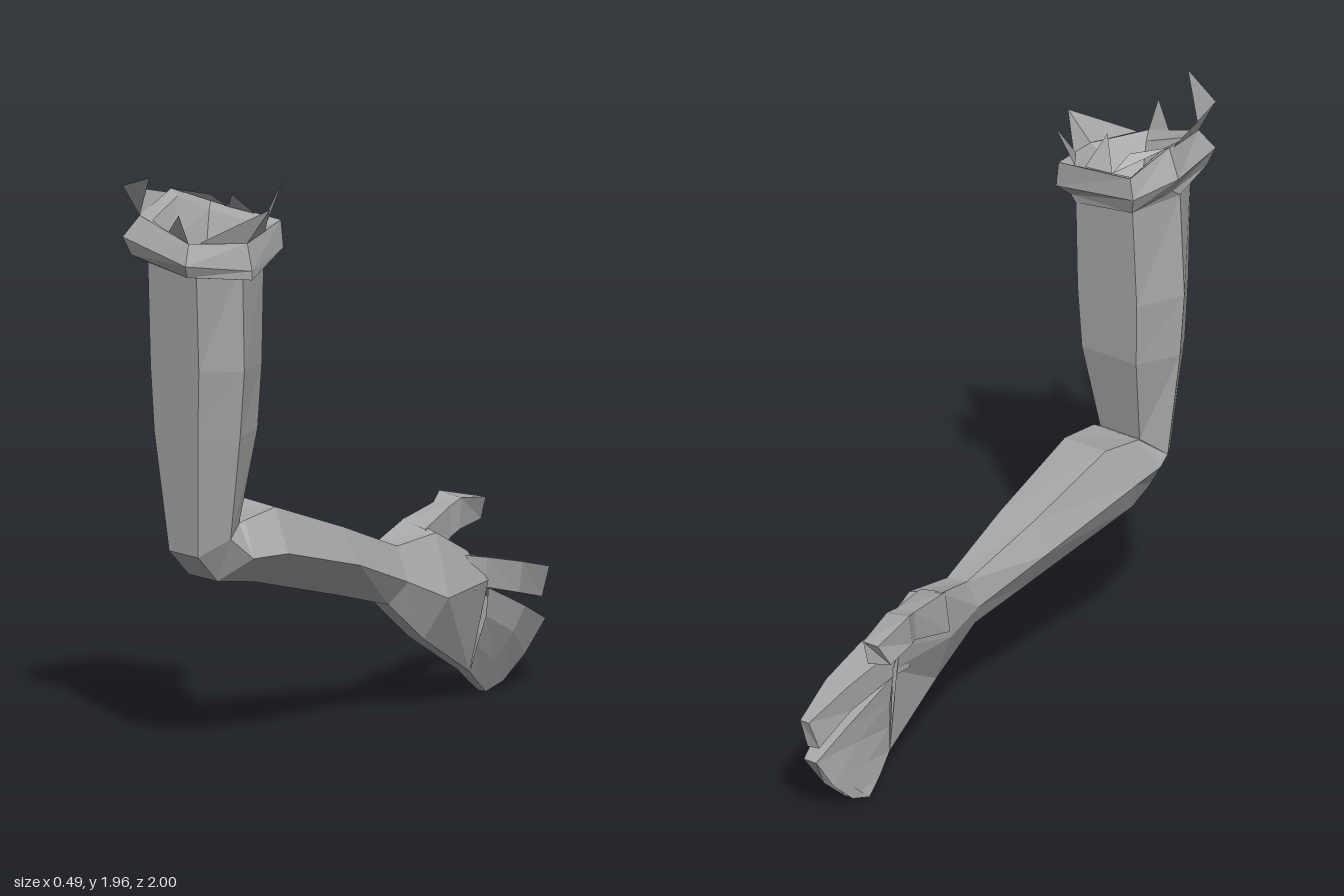
import * as THREE from 'three';

const grey = new THREE.MeshStandardMaterial({ color: 0xa6a6a6, side: THREE.DoubleSide });
grey.name = 'grey';

// Faceted mesh from a list of corner triples
function facets(name, corners) {
  const g = new THREE.BufferGeometry();
  g.setAttribute('position', new THREE.Float32BufferAttribute(corners.flat(), 3));
  g.computeVertexNormals();
  const mesh = new THREE.Mesh(g, grey);
  mesh.name = name;
  return mesh;
}

// Skin through closed rings of equal point count, optionally capped
function loft(name, rings, { start = false, end = false } = {}) {
  const t = [], n = rings[0].length;
  for (let i = 0; i < rings.length - 1; i++) {
    for (let j = 0; j < n; j++) {
      const k = (j + 1) % n;
      const a = rings[i][j], b = rings[i][k], c = rings[i + 1][j], d = rings[i + 1][k];
      t.push(a, c, b, b, c, d);
    }
  }
  const first = rings[0], last = rings[rings.length - 1];
  for (let j = 1; j < n - 1; j++) {
    if (start) t.push(first[0], first[j], first[j + 1]);
    if (end) t.push(last[0], last[j + 1], last[j]);
  }
  return facets(name, t);
}

// Horizontal ring at height y from x, z pairs
const level = (y, pts) => pts.map(([x, z]) => [x, y, z]);

// Ring shrunk towards the arm's axis and moved down
const shrink = (ring, s, drop) =>
  ring.map(([x, y, z]) => [-0.03 + (x + 0.03) * s, y - drop, 0.73 + (z - 0.73) * s]);

export function createModel() {
  const model = new THREE.Group();
  model.name = 'arm';

  // Ring order: front left, front right, right, back right, back left, left
  const shoulder = level(1.66, [[-.14, .88], [.06, .88], [.15, .75], [.09, .56], [-.14, .56], [-.2, .74]]);
  const elbow = [[-.13, .68, .78], [-.01, .67, .78], [.07, .73, .71], [.05, .77, .64], [-.11, .77, .64], [-.18, .71, .7]];
  model.add(loft('upperArm', [
    shoulder,
    level(1.3, [[-.16, .84], [.04, .84], [.15, .74], [.09, .57], [-.15, .57], [-.225, .73]]),
    level(1.08, [[-.16, .82], [.02, .82], [.125, .73], [.08, .58], [-.14, .58], [-.215, .72]]),
    elbow,
  ]));

  // Forearm swings back from the elbow and tapers to the wrist
  const wrist = [[-.02, .4, -.14], [.06, .385, -.14], [.11, .46, -.18], [.05, .57, -.2], [-.03, .58, -.2], [-.055, .48, -.17]];
  model.add(loft('forearm', [
    elbow,
    [[-.12, .59, .69], [0, .58, .69], [.11, .66, .64], [.06, .78, .62], [-.12, .78, .62], [-.18, .68, .66]],
    [[-.14, .565, .56], [.05, .565, .56], [.16, .665, .52], [.06, .8, .46], [-.12, .815, .44], [-.19, .68, .52]],
    [[-.06, .455, .1], [.04, .45, .1], [.13, .56, .1], [.06, .68, .1], [-.08, .69, .1], [-.13, .58, .1]],
    wrist,
  ]));

  model.add(loft('palm', [
    wrist,
    [[.02, .25, -.3], [.08, .25, -.3], [.16, .39, -.33], [.07, .59, -.38], [-.06, .625, -.38], [-.06, .44, -.33]],
    [[.01, .1, -.57], [.06, .1, -.57], [.13, .41, -.58], [.05, .5, -.57], [-.03, .5, -.57], [-.01, .41, -.58]],
  ], { end: true }));

  // Digits, ring order: right top, left top, left bottom, right bottom
  model.add(loft('thumb', [
    [[.04, .6, -.36], [-.06, .62, -.36], [-.08, .48, -.36], [.06, .46, -.36]],
    [[-.02, .64, -.57], [-.09, .645, -.57], [-.09, .54, -.56], [-.01, .54, -.56]],
    [[-.03, .655, -.64], [-.12, .67, -.64], [-.12, .56, -.62], [-.02, .555, -.62]],
    [[-.06, .63, -.81], [-.12, .63, -.81], [-.15, .56, -.78], [-.08, .555, -.81]],
  ], { end: true }));

  model.add(loft('middleFinger', [
    [[.1, .5, -.5], [-.01, .5, -.5], [-.02, .39, -.5], [.14, .39, -.5]],
    [[.11, .48, -.6], [-.01, .48, -.6], [-.01, .385, -.58], [.12, .385, -.58]],
    [[.1, .435, -.8], [.01, .435, -.8], [.01, .34, -.78], [.1, .335, -.78]],
    [[.055, .385, -1], [.02, .385, -1], [0, .285, -.97], [.04, .285, -.98]],
  ], { end: true }));

  // Joined lower fingers, fanning to a rounded tip
  const root = [[.385, -.58], [.29, -.58], [.19, -.57], [.1, -.57]];
  const mid = [[.29, -.8], [.21, -.75], [.12, -.7], [.05, -.65]];
  const tip = [[.22, -.96], [.11, -.89], [.03, -.8], [.005, -.72]];
  const fan = (edge, inner, outer) => [
    ...edge.map(([y, z], i) => [inner[i], y, z]),
    ...edge.map(([y, z], i) => [outer[i], y, z]).reverse(),
  ];
  model.add(loft('lowerFingers', [
    fan(root, [-.01, 0, .01, .01], [.13, .12, .09, .06]),
    fan(mid, [.01, .01, 0, -.01], [.11, .1, .06, .03]),
    fan(tip, [.02, 0, -.01, -.02], [.07, .04, .02, .01]),
  ], { end: true }));

  // Slanted cuff with a hollow inside
  const rim = [[-.15, 1.81, .91], [.06, 1.74, .92], [.17, 1.73, .75], [.13, 1.77, .52], [-.16, 1.8, .52], [-.2, 1.86, .68]];
  model.add(loft('cuff', [
    shrink(rim, 0.5, 0.12),
    shrink(rim, 0.8, 0.02),
    rim,
    [[-.19, 1.74, .95], [.07, 1.67, .95], [.19, 1.64, .75], [.14, 1.68, .52], [-.18, 1.73, .51], [-.245, 1.76, .67]],
    [[-.17, 1.68, .93], [.06, 1.63, .93], [.19, 1.61, .75], [.11, 1.64, .56], [-.16, 1.67, .53], [-.2, 1.69, .7]],
    shoulder.map(([x, y, z]) => [x, y - .03 - x * .15, z]),
  ], { start: true }));

  // Torn, pointed flaps around the rim
  const flaps = [
    [[-.2, 1.85, .7], [-.15, 1.81, .91], [-.19, 1.91, .95]],
    [[-.15, 1.81, .91], [-.04, 1.96, 1], [-.19, 1.91, .95]],
    [[-.03, 1.77, .91], [.06, 1.74, .92], [.05, 1.84, .96]],
    [[.08, 1.74, .89], [.17, 1.73, .75], [.24, 1.845, .72]],
    [[.17, 1.73, .75], [.15, 1.75, .63], [.24, 1.845, .72]],
    [[.15, 1.75, .64], [.07, 1.77, .53], [.13, 1.91, .5]],
    [[.03, 1.78, .53], [-.08, 1.79, .53], [.02, 1.86, .64]],
    [[-.08, 1.79, .53], [-.2, 1.86, .68], [-.1, 1.84, .6]],
  ];
  model.add(facets('cuffFlaps', flaps.flat()));

  return model;
}
